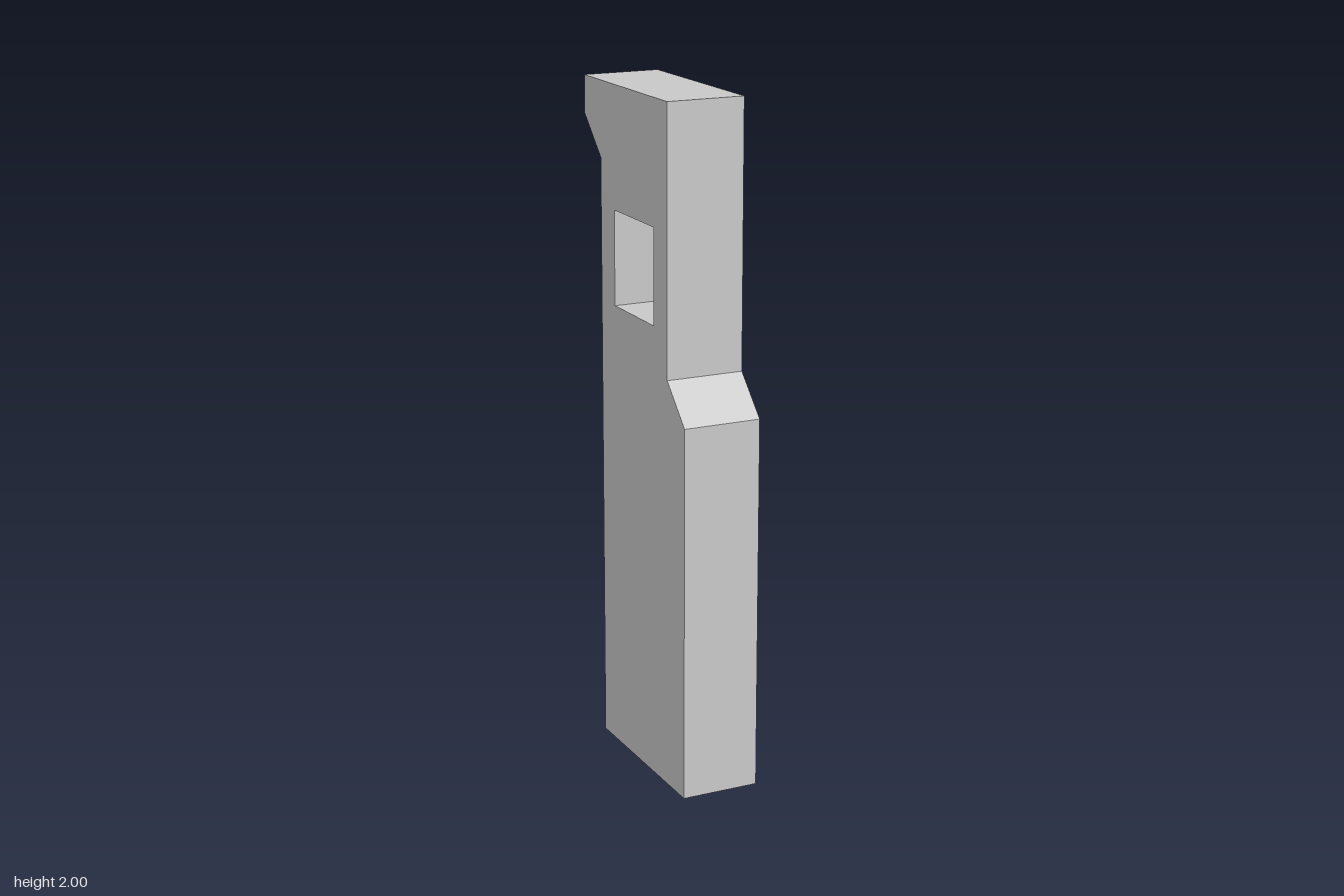
import * as THREE from 'three';

const WIDTH = 0.233;

const toPoints = (pairs) => pairs.map(([z, y]) => new THREE.Vector2(z, y));

export function createModel() {
  const group = new THREE.Group();
  group.name = 'notchedPost';

  const grey = new THREE.MeshStandardMaterial({ color: 0xc8c8c8 });
  grey.name = 'light grey';

  // Side profile as (z, y): stepped front, overhanging lip at the back top
  const profile = new THREE.Shape(toPoints([
    [-0.22, 0], [0.333, 0], [0.333, 1.112], [0.222, 1.223], [0.222, 2],
    [-0.333, 2], [-0.333, 1.889], [-0.22, 1.777],
  ]));

  // Rectangular window through the upper part
  profile.holes.push(new THREE.Path(toPoints([
    [-0.128, 1.36], [-0.128, 1.64], [0.133, 1.64], [0.133, 1.36],
  ])));

  // Extrude across the width, then turn the profile into the z-y plane
  const geometry = new THREE.ExtrudeGeometry(profile, { depth: WIDTH, bevelEnabled: false });
  geometry.translate(0, 0, -WIDTH / 2);
  geometry.rotateY(-Math.PI / 2);

  const post = new THREE.Mesh(geometry, grey);
  post.name = 'post';
  group.add(post);
  return group;
}
